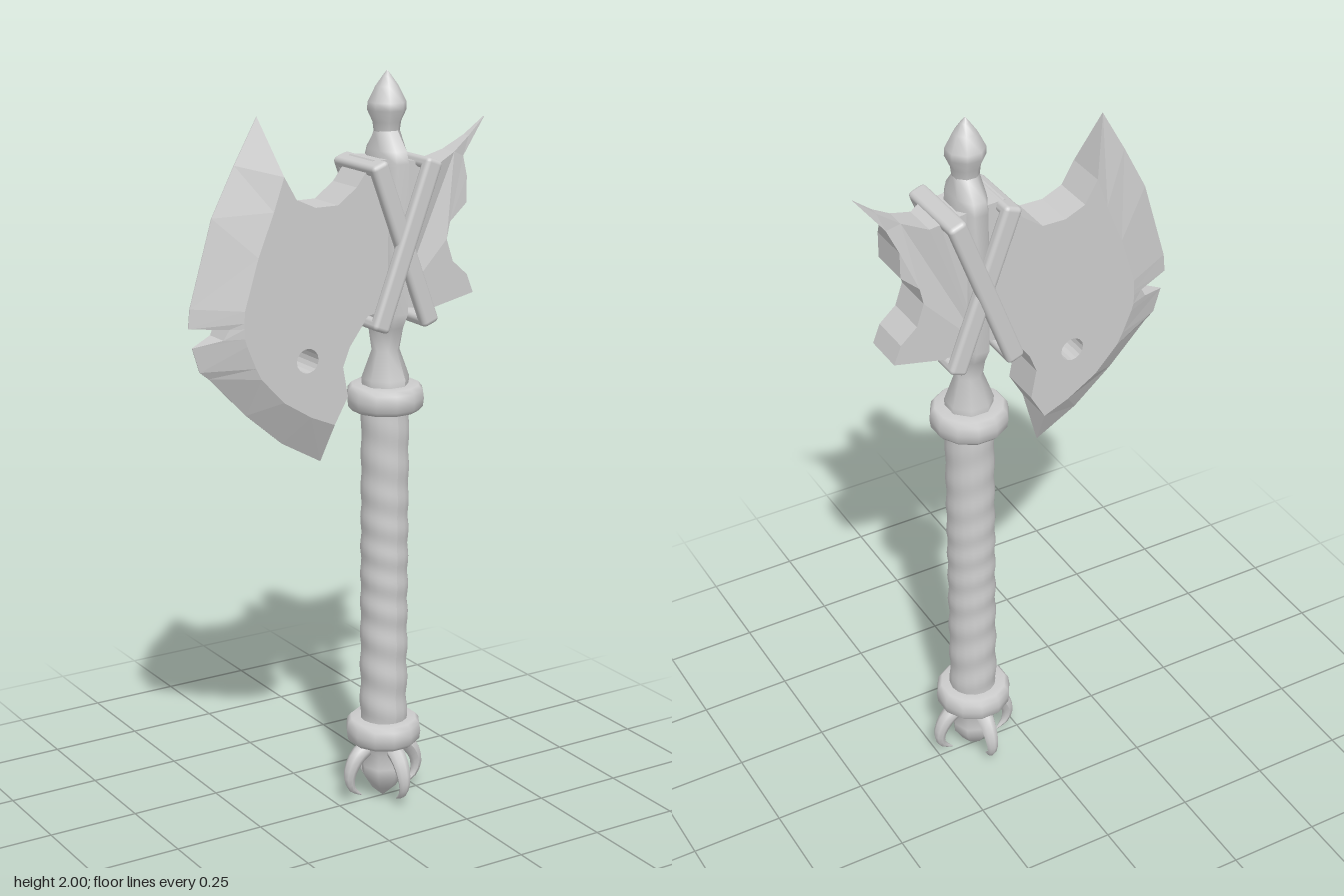
import * as THREE from 'three';
import { RoundedBoxGeometry } from 'three/addons/geometries/RoundedBoxGeometry.js';

const mat = new THREE.MeshStandardMaterial({ color: 0xcccccc });
const AXIS = 0.14;   // x of the shaft
const HALF = 0.057;  // half thickness of the blades
const v2 = (p) => p.map(([x, y]) => new THREE.Vector2(x, y));

function add(parent, name, geometry) {
  const mesh = new THREE.Mesh(geometry, mat);
  mesh.name = name;
  parent.add(mesh);
  return mesh;
}

// Move every vertex by a rule that edits the vector in place
function bend(geometry, rule) {
  const pos = geometry.attributes.position, v = new THREE.Vector3();
  for (let i = 0; i < pos.count; i++) {
    v.fromBufferAttribute(pos, i);
    rule(v, i);
    pos.setXYZ(i, v.x, v.y, v.z);
  }
  geometry.computeVertexNormals();
  return geometry;
}

function plate(outline, hole) {
  const shape = new THREE.Shape(v2(outline));
  if (hole) shape.holes.push(new THREE.Path().absarc(hole[0], hole[1], hole[2], 0, Math.PI * 2, true));
  return new THREE.ExtrudeGeometry(shape, { depth: HALF * 2, bevelEnabled: false, curveSegments: 8 })
    .translate(0, 0, -HALF);
}

// Wedge from the thick ridge line to the thin cutting edge
function wedge(rows) {
  const rings = rows.map(([ex, ey, rx, ry, e = 0.001]) =>
    [[rx, ry, HALF], [ex, ey, e], [ex, ey, -e], [rx, ry, -HALF]]);
  const out = [];
  const quad = (a, b, c, d) => out.push(...a, ...b, ...c, ...a, ...c, ...d);
  for (let i = 0; i < rings.length - 1; i++) {
    const p = rings[i], q = rings[i + 1];
    for (let k = 0; k < 3; k++) quad(p[k], p[k + 1], q[k + 1], q[k]);
  }
  const first = rings[0], last = rings[rings.length - 1];
  quad(first[0], first[3], first[2], first[1]);
  quad(last[0], last[1], last[2], last[3]);
  const g = new THREE.BufferGeometry();
  g.setAttribute('position', new THREE.Float32BufferAttribute(out, 3));
  g.computeVertexNormals();
  return g;
}

// Tube along a path, thinning to a point
function claw() {
  const curve = new THREE.CatmullRomCurve3([[0.045, 0.165], [0.085, 0.135], [0.108, 0.085], [0.1, 0.045], [0.07, 0.02]]
    .map(([x, y]) => new THREE.Vector3(x, y, 0)));
  const n = 10, sides = 8;
  return bend(new THREE.TubeGeometry(curve, n, 0.024, sides), (v, i) => {
    const t = Math.floor(i / (sides + 1)) / n;
    const c = curve.getPointAt(t);
    v.sub(c).multiplyScalar(1 - 0.93 * t * t).add(c);
  });
}

export function createModel() {
  const model = new THREE.Group();
  model.name = 'battleAxe';

  // Main blade: edge x, edge y, ridge x, ridge y, edge half thickness
  const edge = [
    [-0.24, 1.91, -0.195, 1.765], [-0.305, 1.795, -0.225, 1.68], [-0.37, 1.67, -0.27, 1.57],
    [-0.435, 1.45, -0.31, 1.44], [-0.44, 1.4, -0.312, 1.41], [-0.345, 1.395, -0.312, 1.395, 0.04],
    [-0.36, 1.368, -0.311, 1.37, 0.035], [-0.43, 1.35, -0.305, 1.35], [-0.41, 1.285, -0.28, 1.29],
    [-0.385, 1.265, -0.265, 1.26], [-0.28, 1.155, -0.2, 1.19], [-0.175, 1.065, -0.12, 1.14],
    [-0.06, 1.0, -0.05, 1.11],
  ];
  add(model, 'bladeEdge', wedge(edge));
  add(model, 'bladeBody', plate([
    ...edge.map((r) => [r[2], r[3]]),
    [-0.01, 1.18], [-0.025, 1.26], [-0.005, 1.31], [0.05, 1.385], [AXIS, 1.4], [AXIS, 1.78],
    [0.065, 1.785], [0.015, 1.72], [-0.04, 1.68], [-0.105, 1.68], [-0.16, 1.705],
  ], [-0.13, 1.29, 0.032]));

  // Rear blade: the upper horn thins to a point
  add(model, 'rearBlade', bend(plate([
    [AXIS, 1.4], [0.235, 1.38], [0.375, 1.41], [0.355, 1.46], [0.31, 1.5], [0.29, 1.56], [0.3, 1.605],
    [0.35, 1.65], [0.35, 1.72], [0.365, 1.765], [0.44, 1.86], [0.385, 1.815], [0.33, 1.78],
    [0.265, 1.755], [0.24, 1.765], [AXIS, 1.78],
  ]), (v) => {
    if (v.y > 1.74 && v.x > 0.25) v.z *= Math.max(0.04, Math.pow((0.44 - v.x) / 0.2, 1.2));
  }));

  // Everything turned about the shaft
  const shaft = new THREE.Group();
  shaft.name = 'shaft';
  shaft.position.x = AXIS;
  model.add(shaft);

  add(shaft, 'headCore', bend(new THREE.LatheGeometry(v2([
    [0.06, 1.16], [0.064, 1.2], [0.037, 1.275], [0.042, 1.34], [0.048, 1.38],
    [0.048, 1.77], [0.043, 1.8], [0.033, 1.85],
  ]), 8, Math.PI / 8), (v) => {
    if (v.y > 1.3 && v.y < 1.82) v.z *= v.y > 1.36 && v.y < 1.81 ? 1.75 : 1.5;
  }));
  add(shaft, 'finial', new THREE.LatheGeometry(v2([
    [0.033, 1.84], [0.037, 1.87], [0.051, 1.9], [0.05, 1.92], [0.03, 1.96], [0.012, 1.985], [0, 2],
  ]), 8, Math.PI / 8));

  // Grip with slanted leather windings
  const gripPoints = [];
  for (let i = 0; i <= 70; i++) gripPoints.push([0.064, 0.22 + i * 0.013]);
  add(shaft, 'grip', bend(new THREE.LatheGeometry(v2(gripPoints), 16), (v) => {
    const wave = Math.sin((v.y + 0.25 * v.x + 0.15 * v.z) * 72 + Math.sin(v.y * 9));
    const s = 1 + 0.035 * wave * (1.2 - 0.6 * v.y);
    v.x *= s;
    v.z *= s;
  }));

  // Collars at both ends of the grip
  for (const [name, y] of [['upperCollar', 1.148], ['lowerCollar', 0.205]]) {
    const profile = [[0.055, -0.034], [0.09, -0.034], [0.101, -0.022], [0.104, 0], [0.101, 0.022], [0.09, 0.034], [0.055, 0.034]];
    add(shaft, name, new THREE.LatheGeometry(v2(profile), 12, Math.PI / 12)).position.y = y;
  }

  // Pommel stone held by four claws
  add(shaft, 'pommelStone', new THREE.LatheGeometry(v2([
    [0, 0.003], [0.035, 0.035], [0.06, 0.075], [0.06, 0.1], [0.055, 0.14], [0.07, 0.16], [0.07, 0.19],
  ]), 8));
  for (let i = 0; i < 4; i++) add(shaft, 'pommelClaw', claw()).rotation.y = i * Math.PI / 2;

  // Two crossed bindings, each a tilted loop around the head
  for (const side of [1, -1]) {
    const loop = new THREE.Group();
    loop.name = side > 0 ? 'outerBinding' : 'innerBinding';
    loop.position.y = 1.565;
    loop.rotation.z = -side * 0.36;
    shaft.add(loop);
    const z = side > 0 ? 0.094 : 0.084;
    for (const s of [1, -1]) {
      add(loop, 'bindingStrap', new RoundedBoxGeometry(0.05, 0.46, 0.032, 2, 0.012)).position.z = s * z;
      add(loop, 'bindingEnd', new RoundedBoxGeometry(0.05, 0.03, z * 2 + 0.02, 2, 0.012)).position.y = s * 0.215;
    }
  }
  return model;
}
